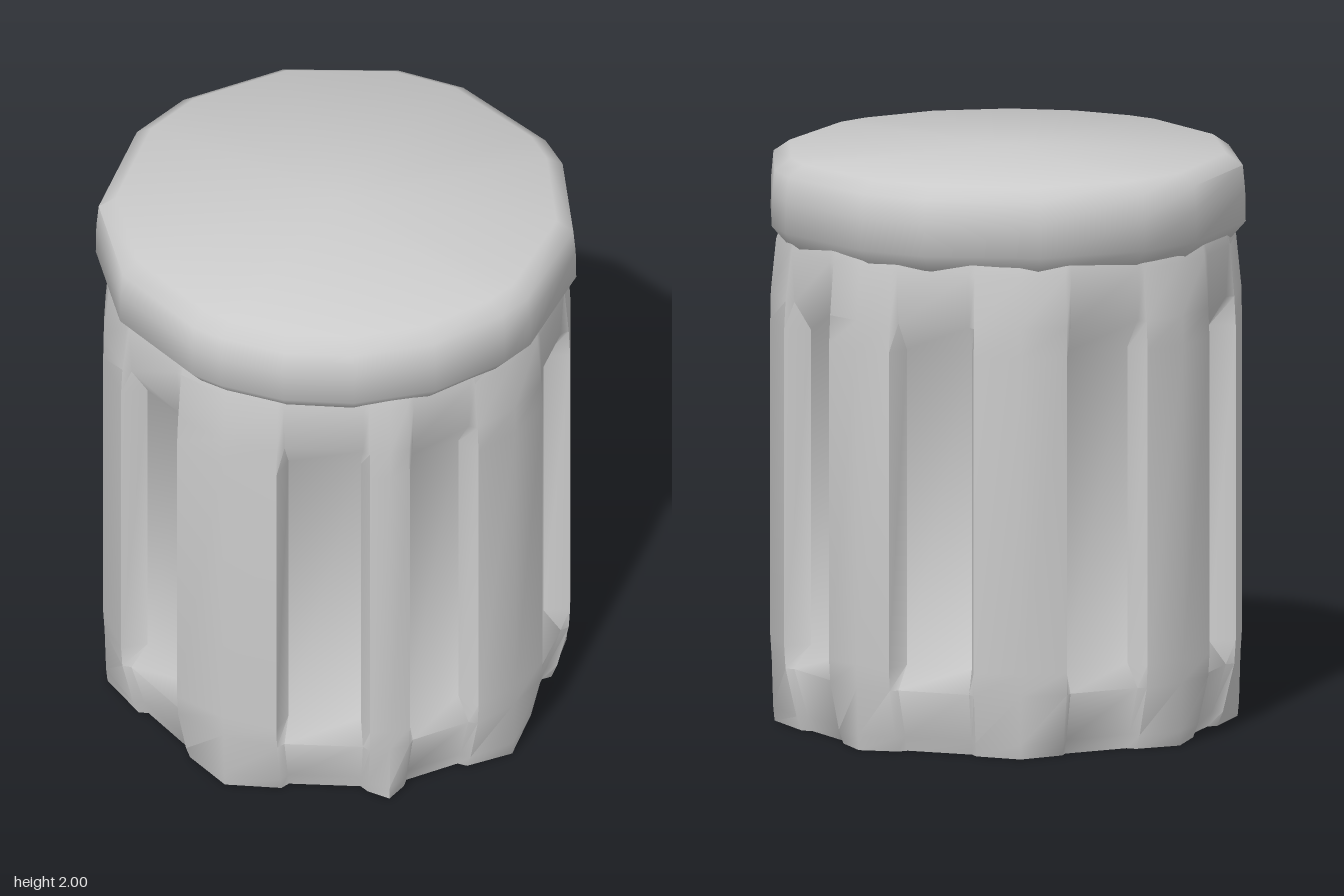
import * as THREE from 'three';
import { toCreasedNormals } from 'three/addons/utils/BufferGeometryUtils.js';

const rad = THREE.MathUtils.degToRad;

// Closed loft: every row is { y, radii }, angles run from the front (+z) towards +x.
function loft(angles, rows, topY, crease) {
  const n = angles.length, pos = [], index = [];
  for (const { y, radii } of rows) {
    angles.forEach((a, i) => pos.push(radii[i] * Math.sin(rad(a)), y, radii[i] * Math.cos(rad(a))));
  }
  const bottom = pos.length / 3, top = bottom + 1, last = (rows.length - 1) * n;
  pos.push(0, rows[0].y, 0, 0, topY, 0);
  for (let i = 0; i < n; i++) {
    const j = (i + 1) % n;
    for (let r = 0; r < last; r += n) {
      index.push(r + i, r + j, r + n + j, r + i, r + n + j, r + n + i);
    }
    index.push(bottom, j, i, top, last + i, last + j);
  }
  const geo = new THREE.BufferGeometry();
  geo.setAttribute('position', new THREE.Float32BufferAttribute(pos, 3));
  geo.setIndex(index);
  return toCreasedNormals(geo, crease);
}

export function createModel() {
  const group = new THREE.Group();
  const material = new THREE.MeshStandardMaterial({ color: 0xcccccc, roughness: 0.8 });
  const add = (name, geo) => {
    const mesh = new THREE.Mesh(geo, material);
    mesh.name = name;
    group.add(mesh);
  };

  // Fluted body: eight recessed panels between slightly irregular ribs
  const grooves = [[14, 37], [47, 66], [90, 112], [143, 165], [184, 206], [229, 251], [274, 292], [322, 346]];
  const angles = [], kinds = [];
  grooves.forEach(([lo, hi], i) => {
    const next = i < 7 ? grooves[i + 1][0] : grooves[0][0] + 360;
    angles.push(lo, lo + 1.5, hi - 1.5, hi, (hi + next) / 2);
    kinds.push('edge', 'floor', 'floor', 'edge', 'rib');
  });
  const profile = [
    { y: 0.0, rib: 0.795, edge: 0.74, floor: 0.71 },
    { y: 0.05, rib: 0.8, edge: 0.76, floor: 0.725 },
    { y: 0.22, rib: 0.805, edge: 0.8, floor: 0.775 },
    { y: 0.3, rib: 0.81, edge: 0.805, floor: 0.715 },
    { y: 1.4, rib: 0.81, edge: 0.805, floor: 0.715 },
    { y: 1.5, rib: 0.808, edge: 0.8, floor: 0.775 },
    { y: 1.68, rib: 0.79, edge: 0.785, floor: 0.785 },
    { y: 1.74, rib: 0.77, edge: 0.77, floor: 0.77 },
  ];
  const rows = profile.map(p => ({ y: p.y, radii: kinds.map(k => p[k]) }));
  add('body', loft(angles, rows, 1.74, 1.0));

  // Lid: low-sided disc with a rounded upper rim and a bevelled underside
  const lidAngles = [0, 16, 33, 53, 73, 82, 111, 138, 148, 177, 194, 222, 249, 266, 297, 325, 352];
  const lidProfile = [[1.69, 0.775], [1.75, 0.828], [1.86, 0.826], [1.945, 0.818], [1.985, 0.76]];
  const lidRows = lidProfile.map(([y, r]) => ({ y, radii: lidAngles.map(() => r) }));
  add('lid', loft(lidAngles, lidRows, 2.0, 0.95));

  return group;
}
